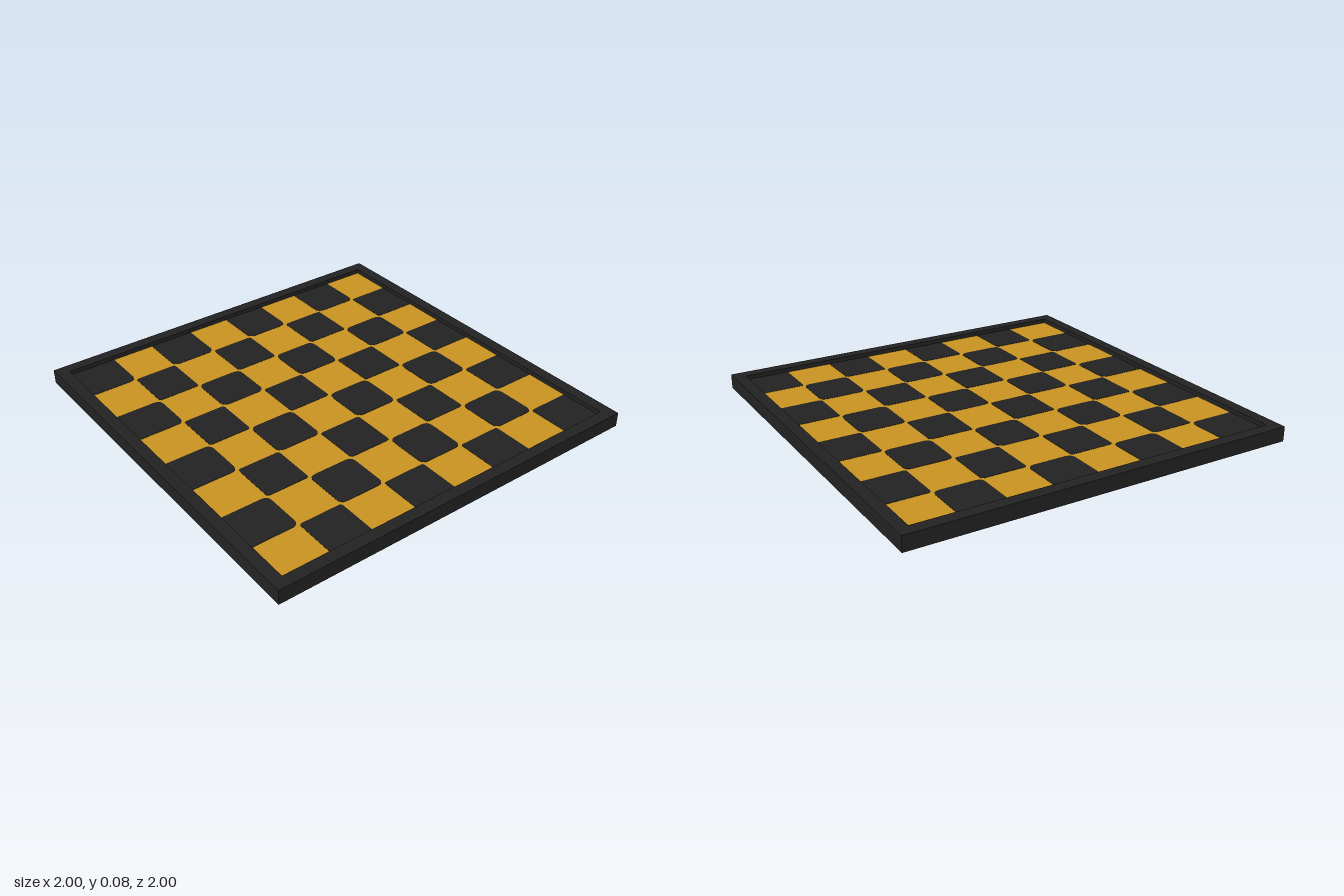
import * as THREE from 'three';

const HEIGHT = 0.075, FLOOR = 0.053, INNER = 0.94;
// Lines between the squares
const XS = [-0.94, -0.69, -0.465, -0.225, 0.005, 0.24, 0.47, 0.71, 0.94];
const ZS = [-0.94, -0.70, -0.46, -0.23, 0.005, 0.24, 0.475, 0.71, 0.94];

// Rectangle with its own radius at each corner, order: (x0,y0) (x1,y0) (x1,y1) (x0,y1)
function rectangle(x0, y0, x1, y1, [a, b, c, d] = [0, 0, 0, 0]) {
  const s = new THREE.Shape();
  s.moveTo(x0 + a, y0);
  s.lineTo(x1 - b, y0);
  if (b) s.quadraticCurveTo(x1, y0, x1, y0 + b);
  s.lineTo(x1, y1 - c);
  if (c) s.quadraticCurveTo(x1, y1, x1 - c, y1);
  s.lineTo(x0 + d, y1);
  if (d) s.quadraticCurveTo(x0, y1, x0, y1 - d);
  s.lineTo(x0, y0 + a);
  if (a) s.quadraticCurveTo(x0, y0, x0 + a, y0);
  return s;
}

export function createModel() {
  const board = new THREE.Group();
  board.name = 'checkeredBoard';
  const black = new THREE.MeshStandardMaterial({ color: 0x222222 });
  black.name = 'black';
  const gold = new THREE.MeshStandardMaterial({ color: 0xc89220 });
  gold.name = 'gold';

  const add = (name, geometry, material, y, parent = board) => {
    const mesh = new THREE.Mesh(geometry, material);
    mesh.name = name;
    mesh.position.y = y;
    parent.add(mesh);
  };
  // Shape drawn in x and -z, raised upward
  const slab = (shape, depth) =>
    new THREE.ExtrudeGeometry(shape, { depth, bevelEnabled: false, curveSegments: 4 }).rotateX(-Math.PI / 2);

  // Raised rim around the recessed playing field
  const rim = rectangle(-1, -1, 1, 1);
  rim.holes.push(rectangle(-INNER, -INNER, INNER, INNER));
  add('rim', slab(rim, HEIGHT), black, 0);

  // Solid base inside the rim
  const base = FLOOR - 0.004;
  add('base', new THREE.BoxGeometry(2 * INNER, base, 2 * INNER), black, base / 2);

  // Gold field showing between the dark squares
  add('goldField', slab(rectangle(-INNER, -INNER, INNER, INNER), 0.003), gold, base);

  // Dark squares with softened corners, square where they meet the rim
  const squares = new THREE.Group();
  squares.name = 'darkSquares';
  board.add(squares);
  for (let row = 0; row < 8; row++) {
    const r = row % 2 ? 0.015 : 0.035;
    for (let col = row % 2; col < 8; col += 2) {
      const corner = (i, j) => (i % 8 === 0 || j % 8 === 0 ? 0 : r);
      const radii = [
        corner(col, row + 1), corner(col + 1, row + 1), corner(col + 1, row), corner(col, row),
      ];
      const shape = rectangle(XS[col], -ZS[row + 1], XS[col + 1], -ZS[row], radii);
      add('darkSquare', slab(shape, 0.0015), black, base + 0.003, squares);
    }
  }
  return board;
}
